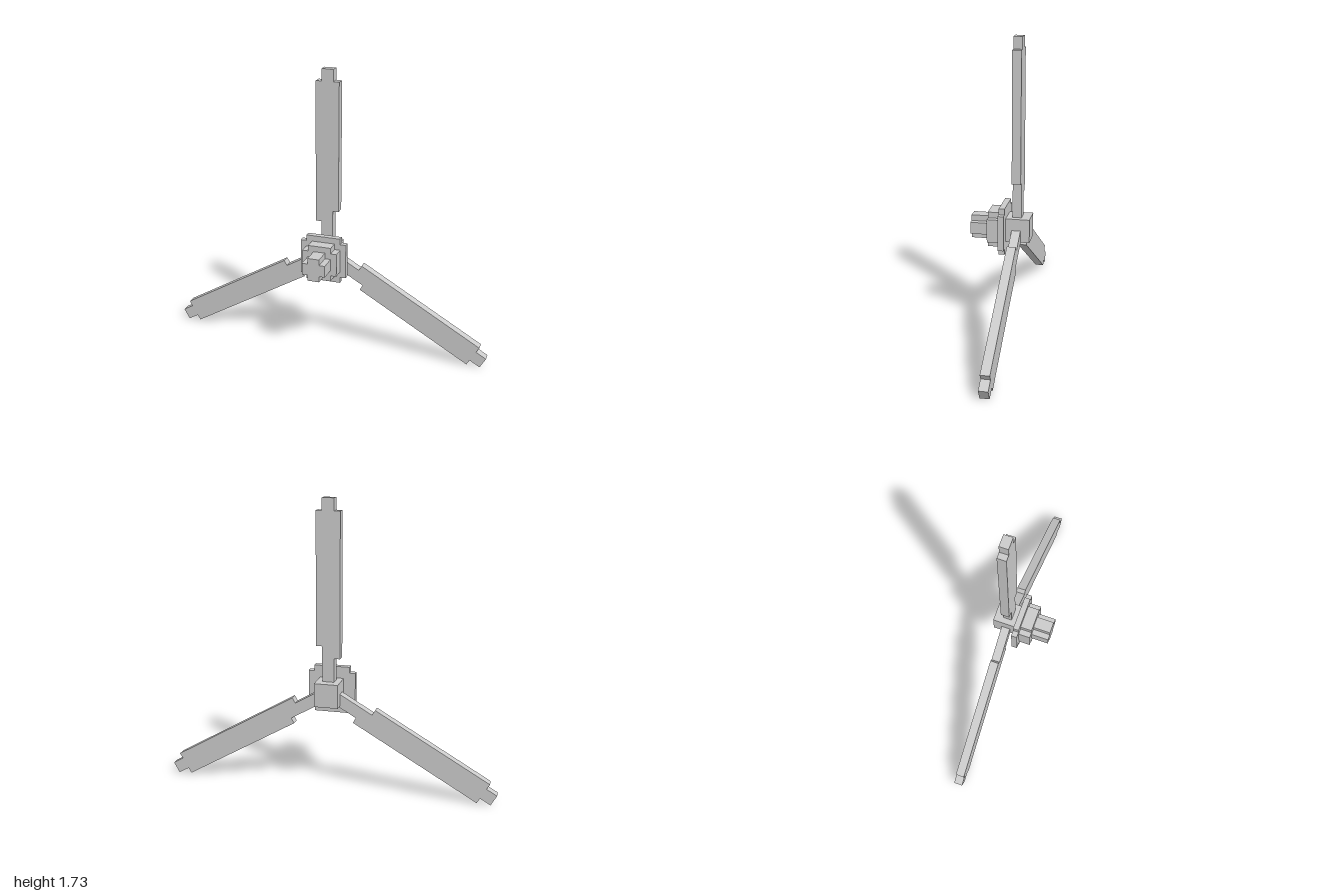
import * as THREE from 'three';

const U = 0.0354;          // half-step of the blocky grid
const HUB_Y = 0.598;       // height of the rotor axis
const material = new THREE.MeshStandardMaterial({ color: 0xcccccc, flatShading: true });

// Extrude a flat outline (in grid units) between two depths
function slab(name, outline, z0, z1) {
  const shape = new THREE.Shape(outline.map(([x, y]) => new THREE.Vector2(x * U, y * U)));
  const geometry = new THREE.ExtrudeGeometry(shape, { depth: z1 - z0, bevelEnabled: false });
  geometry.translate(0, 0, z0);
  const mesh = new THREE.Mesh(geometry, material);
  mesh.name = name;
  return mesh;
}

// Square of half-width r with its corners notched by one unit
function notchedSquare(r) {
  const s = r - 1;
  return [[-s, -r], [s, -r], [s, -s], [r, -s], [r, s], [s, s],
    [s, r], [-s, r], [-s, s], [-r, s], [-r, -s], [-s, -s]];
}

export function createModel() {
  const model = new THREE.Group();
  model.name = 'propeller';

  const rotor = new THREE.Group();
  rotor.name = 'rotor';
  rotor.position.y = HUB_Y;
  model.add(rotor);

  // Hub: square block behind, then a flange and two steps of the nose
  rotor.add(
    slab('hubBlock', [[-2, -2], [2, -2], [2, 2], [-2, 2]], -5 * U, -U),
    slab('flange', notchedSquare(4), -U, 0),
    slab('noseBase', notchedSquare(3), 0, 2 * U),
    slab('noseTip', notchedSquare(2), 2 * U, 5 * U),
  );

  // Three blades: narrow root, uneven shoulder, narrow tip
  const blade = [[-1, 1], [1, 1], [1, 8], [2, 8], [2, 30], [1, 30],
    [1, 32], [-1, 32], [-1, 30], [-2, 30], [-2, 6], [-1, 6]];
  for (let i = 0; i < 3; i++) {
    const mesh = slab('blade' + (i + 1), blade, -0.124, -0.071);
    mesh.rotation.z = (i * 2 * Math.PI) / 3;
    rotor.add(mesh);
  }
  return model;
}
